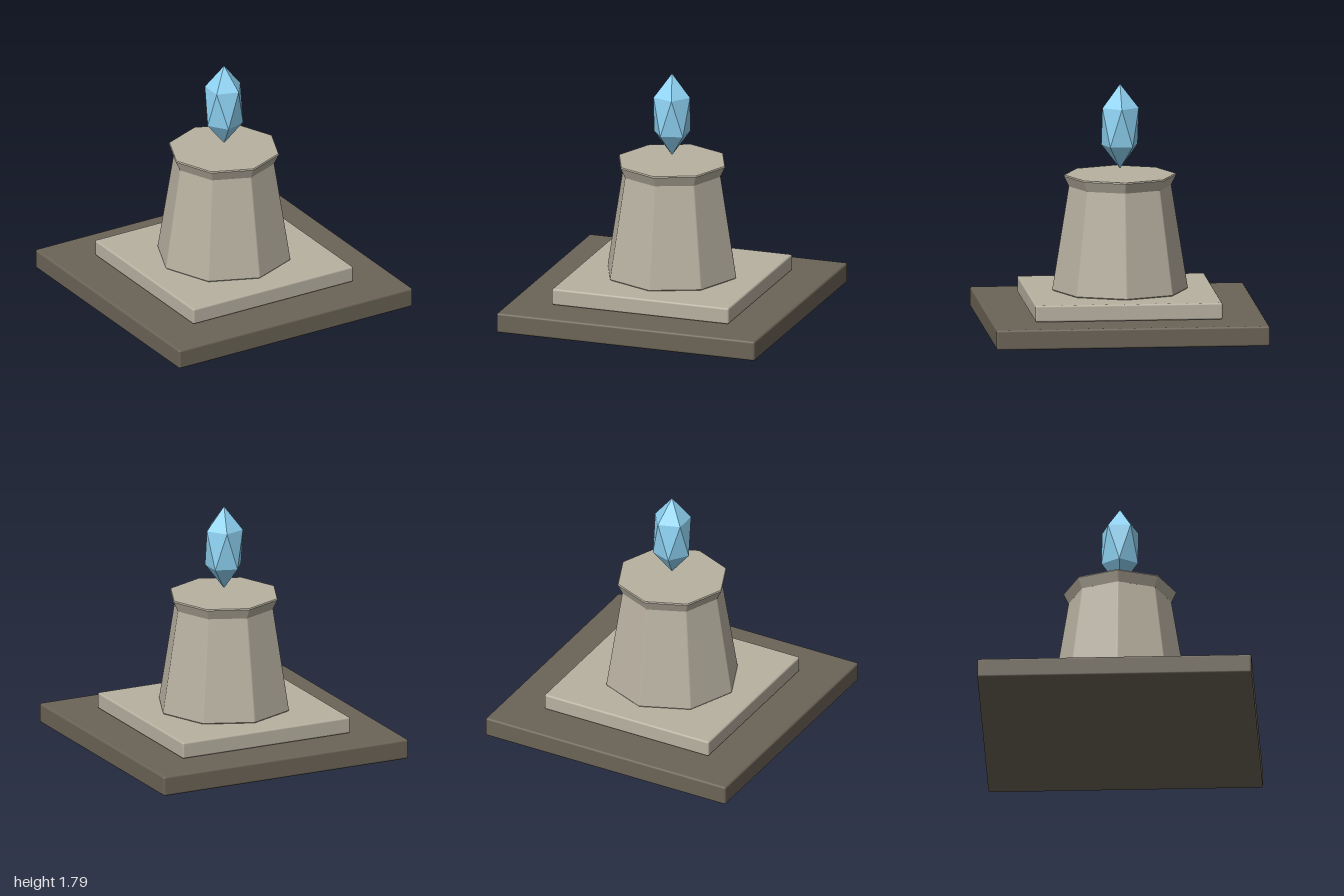
import * as THREE from 'three';
import { RoundedBoxGeometry } from 'three/addons/geometries/RoundedBoxGeometry.js';
import { ConvexGeometry } from 'three/addons/geometries/ConvexGeometry.js';

// Tapered octagon with softened corners; profile is a list of [corner radius, y]
function octagonLoft(profile, corner = 0.018, steps = 4) {
  const pos = [], nor = [], idx = [], half = Math.PI / 8, n = 8 * (steps + 1);
  const ring = (tip, y, normalY, flat) => {
    const start = pos.length / 3;
    for (let i = 0; i < 8; i++) {
      const a = i * 2 * half;
      for (let s = 0; s <= steps; s++) {
        const t = a - half + (2 * half * s) / steps, c = Math.cos(t), d = Math.sin(t);
        pos.push((tip - corner) * Math.cos(a) + corner * c, y, (tip - corner) * Math.sin(a) + corner * d);
        const v = flat ? new THREE.Vector3(0, normalY, 0) : new THREE.Vector3(c, normalY, d).normalize();
        nor.push(v.x, v.y, v.z);
      }
    }
    return start;
  };
  // walls
  for (let k = 0; k < profile.length - 1; k++) {
    const [r0, y0] = profile[k], [r1, y1] = profile[k + 1];
    const slope = ((r0 - r1) * Math.cos(half)) / (y1 - y0);
    const b = ring(r0, y0, slope), t = ring(r1, y1, slope);
    for (let i = 0; i < n; i++) {
      const j = (i + 1) % n;
      idx.push(b + i, t + i, b + j, b + j, t + i, t + j);
    }
  }
  // end caps
  for (const [[r, y], up] of [[profile[0], -1], [profile[profile.length - 1], 1]]) {
    const e = ring(r, y, up, true), c = pos.length / 3;
    pos.push(0, y, 0);
    nor.push(0, up, 0);
    for (let i = 0; i < n; i++) {
      const j = (i + 1) % n;
      if (up > 0) idx.push(c, e + j, e + i);
      else idx.push(c, e + i, e + j);
    }
  }
  const g = new THREE.BufferGeometry();
  g.setAttribute('position', new THREE.Float32BufferAttribute(pos, 3));
  g.setAttribute('normal', new THREE.Float32BufferAttribute(nor, 3));
  g.setIndex(idx);
  return g;
}

// Stretched twenty-sided crystal: two points and two staggered five-point rings
function crystalGeometry(bottom, low, high, top, radius) {
  const pts = [new THREE.Vector3(0, bottom, 0), new THREE.Vector3(0, top, 0)];
  for (let i = 0; i < 5; i++) {
    const a = (i * 2 * Math.PI) / 5;
    const x = radius * Math.cos(a), z = radius * Math.sin(a);
    pts.push(new THREE.Vector3(x, high, z), new THREE.Vector3(-x, low, z));
  }
  return new ConvexGeometry(pts);
}

export function createModel() {
  const group = new THREE.Group();
  const darkStone = new THREE.MeshStandardMaterial({ color: 0x6b6356 });
  const paleStone = new THREE.MeshStandardMaterial({ color: 0xb8b1a1 });
  const ice = new THREE.MeshStandardMaterial({ color: 0x8fd3f4, flatShading: true });

  const add = (name, geometry, material, y = 0) => {
    const mesh = new THREE.Mesh(geometry, material);
    mesh.name = name;
    mesh.position.y = y;
    group.add(mesh);
  };

  // stepped square base
  add('baseSlab', new RoundedBoxGeometry(2, 0.148, 2, 3, 0.016), darkStone, 0.074);
  add('plinthStep', new RoundedBoxGeometry(1.37, 0.122, 1.37, 3, 0.014), paleStone, 0.212);

  // tapered pedestal and its flared cap
  add('pedestal', octagonLoft([[0.49, 0.272], [0.496, 0.28], [0.374, 1.045]]), paleStone);
  add('pedestalCap', octagonLoft([[0.375, 1.04], [0.411, 1.115], [0.406, 1.124]]), paleStone);

  // floating crystal
  add('crystal', crystalGeometry(1.165, 1.338, 1.618, 1.79, 0.14), ice);

  return group;
}
